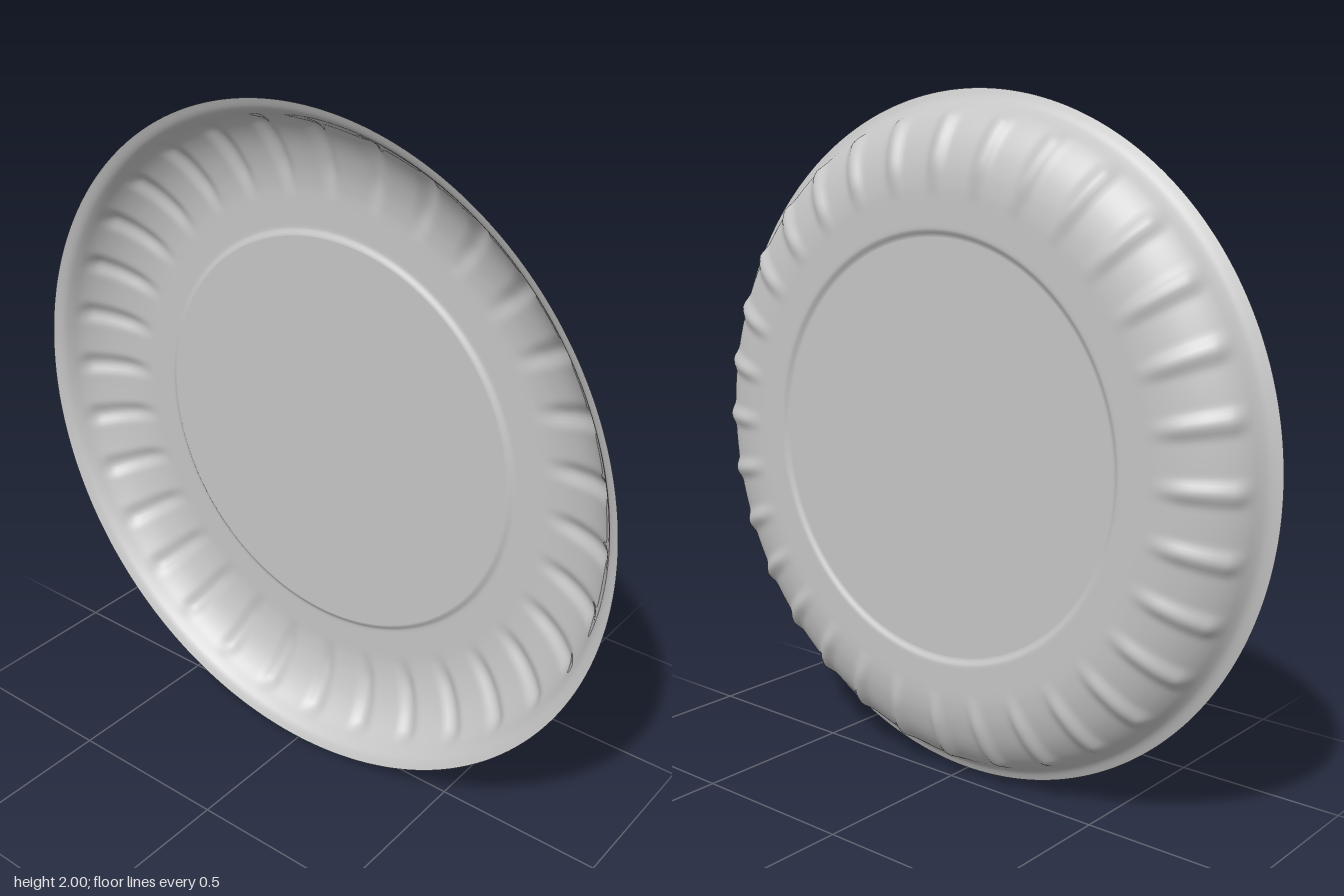
import * as THREE from 'three';
import { mergeVertices } from 'three/addons/utils/BufferGeometryUtils.js';

const RIBS = 32;
const SEGMENTS = RIBS * 16;
const smooth = THREE.MathUtils.smoothstep;

// Sweep a list of [radius, depth] points round the z axis, with an optional offset rule
function revolve(points, offset) {
  const geo = new THREE.LatheGeometry(points.map(([r, z]) => new THREE.Vector2(r, z)), SEGMENTS);
  geo.rotateX(Math.PI / 2);
  const p = geo.attributes.position, n = geo.attributes.normal;
  for (let i = 0; offset && i < p.count; i++) {
    const d = offset(Math.hypot(p.getX(i), p.getY(i)), Math.atan2(p.getY(i), p.getX(i)));
    // the lathe normal points to the back of the plate
    const s = n.getZ(i) > 0 ? -d : d;
    p.setXYZ(i, p.getX(i) + n.getX(i) * s, p.getY(i) + n.getY(i) * s, p.getZ(i) + n.getZ(i) * s);
  }
  geo.deleteAttribute('uv');
  geo.deleteAttribute('normal');
  const merged = mergeVertices(geo, 1e-5);
  merged.computeVertexNormals();
  return merged;
}

// Narrow radial ribs pressed outward through the curved wall
function ribOffset(r, angle) {
  const turn = angle / (Math.PI * 2) * RIBS;
  const across = Math.abs(turn - Math.round(turn));
  const bump = 1 - smooth(across, 0, 0.24);
  return 0.013 * bump * smooth(r, 0.7, 0.82) * (1 - smooth(r, 0.915, 0.955));
}

export function createModel() {
  const plate = new THREE.Group();
  plate.name = 'plate';
  const grey = new THREE.MeshStandardMaterial({ color: 0xc4c4c4, side: THREE.DoubleSide });
  grey.name = 'plate grey';

  const add = (name, geo) => {
    const mesh = new THREE.Mesh(geo, grey);
    mesh.name = name;
    mesh.position.y = 1;
    plate.add(mesh);
    return mesh;
  };

  // Flat centre, raised slightly above the foot
  add('centreDisc', new THREE.CircleGeometry(0.6, 128)).position.z = -0.067;

  // Small step down to the foot ring
  add('footStep', revolve([[0.598, -0.067], [0.603, -0.0675], [0.609, -0.071],
    [0.615, -0.0755], [0.621, -0.077], [0.63, -0.077], [0.7, -0.077]]));

  // Curved wall and flared rim
  const curve = new THREE.SplineCurve([
    [0.7, -0.077], [0.74, -0.0755], [0.79, -0.068], [0.84, -0.053], [0.88, -0.034], [0.915, -0.009],
    [0.94, 0.017], [0.957, 0.043], [0.968, 0.058], [0.98, 0.067], [0.992, 0.073], [1, 0.077],
  ].map(([r, z]) => new THREE.Vector2(r, z)));
  add('flutedWall', revolve(curve.getSpacedPoints(44).map(v => [v.x, v.y]), ribOffset));

  return plate;
}
